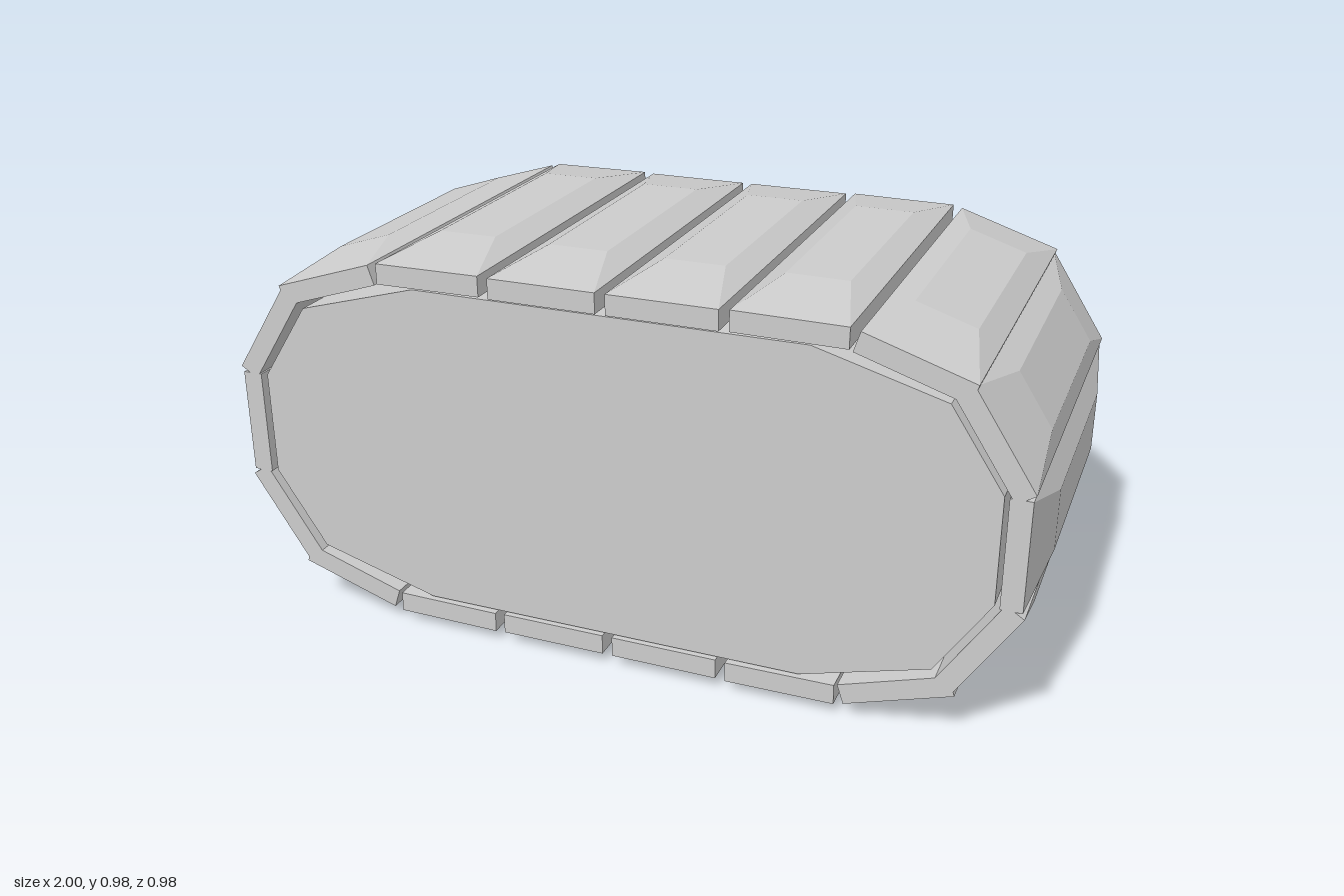
import * as THREE from 'three';

const MID = 0.494; // height of the centre line
const material = new THREE.MeshStandardMaterial({ color: 0xcccccc, flatShading: true });

// Four-way symmetric outline from the corners of one quadrant
function outline(quadrant) {
  const back = [...quadrant].reverse();
  const pts = [
    ...quadrant.map(([x, y]) => [x, y]),
    ...back.map(([x, y]) => [-x, y]),
    ...quadrant.map(([x, y]) => [-x, -y]),
    ...back.map(([x, y]) => [x, -y]),
  ];
  return pts.map(([x, y]) => new THREE.Vector2(x, y));
}

function slab(name, quadrant, z0, z1, hole) {
  const shape = new THREE.Shape(outline(quadrant));
  if (hole) shape.holes.push(new THREE.Path(outline(hole)));
  const geometry = new THREE.ExtrudeGeometry(shape, { depth: z1 - z0, bevelEnabled: false });
  const mesh = new THREE.Mesh(geometry, material);
  mesh.name = name;
  mesh.position.set(0, MID, z0);
  return mesh;
}

// Track pad: a box whose outer face shrinks to a smaller plateau
function padGeometry() {
  const h = 0.078;
  const geometry = new THREE.BoxGeometry(0.265, h, 0.976, 1, 2, 1);
  const p = geometry.attributes.position;
  for (let i = 0; i < p.count; i++) {
    const y = p.getY(i) + h / 2;
    if (y > h * 0.75) p.setXYZ(i, p.getX(i) * 0.56, h, p.getZ(i) * 0.584);
    else p.setY(i, y > h * 0.25 ? 0.05 : 0);
  }
  geometry.computeVertexNormals();
  return geometry;
}

export function createModel() {
  const model = new THREE.Group();
  model.name = 'trackUnit';

  // Hub with a recess and a raised island at the back
  const hubEdge = [[0.91, 0.13], [0.785, 0.32], [0.48, 0.406]];
  const recessEdge = [[0.8, 0.135], [0.71, 0.275], [0.5, 0.325]];
  const islandEdge = [[0.52, 0.06], [0.46, 0.13], [0.36, 0.155]];
  const floor = -0.267;
  const hub = new THREE.Group();
  hub.name = 'hub';
  hub.add(
    slab('hubBody', hubEdge, floor, 0.48),
    slab('hubRim', hubEdge, -0.487, floor, recessEdge),
    slab('hubIsland', islandEdge, -0.465, floor),
  );
  model.add(hub);

  // Pads around the loop: x, y from the centre line, lean in degrees
  const track = new THREE.Group();
  track.name = 'track';
  const geometry = padGeometry();
  const addPad = (x, y, nx, ny) => {
    const pad = new THREE.Mesh(geometry, material);
    pad.name = 'trackPad';
    pad.position.set(x, MID + y, 0);
    pad.rotation.z = Math.atan2(-nx, ny);
    track.add(pad);
  };
  const quarter = [[0.145, 0.411, 0], [0.434, 0.412, 0.5], [0.7, 0.366, 18], [0.863, 0.231, 57]];
  for (const sx of [1, -1]) {
    for (const sy of [1, -1]) {
      for (const [x, y, lean] of quarter) {
        const a = THREE.MathUtils.degToRad(lean);
        addPad(sx * x, sy * y, sx * Math.sin(a), sy * Math.cos(a));
      }
    }
    addPad(sx * 0.922, 0, sx, 0);
  }
  model.add(track);
  return model;
}
